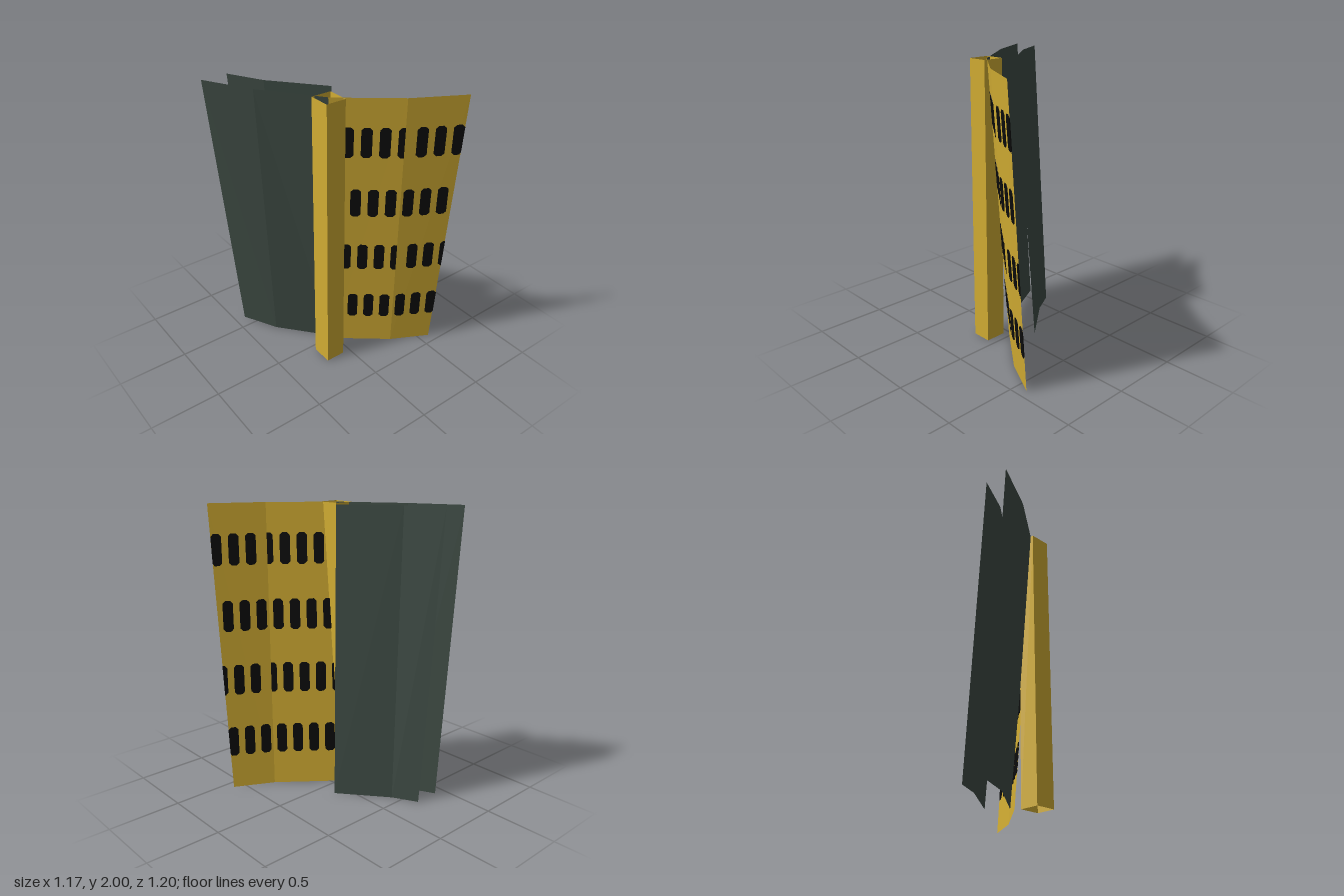
import * as THREE from 'three';

const HEIGHT = 2;
const sheetMat = (name, color) => {
  const m = new THREE.MeshStandardMaterial({ color, side: THREE.DoubleSide, flatShading: true });
  m.name = name;
  return m;
};

// Thin folded sheet between a bottom and a top polyline of [x, z] points
function sheet(name, bottom, top, material) {
  const pos = [];
  for (let i = 0; i < bottom.length - 1; i++) {
    const a = [bottom[i][0], 0, bottom[i][1]];
    const b = [bottom[i + 1][0], 0, bottom[i + 1][1]];
    const c = [top[i + 1][0], HEIGHT, top[i + 1][1]];
    const d = [top[i][0], HEIGHT, top[i][1]];
    pos.push(...a, ...b, ...c, ...a, ...c, ...d);
  }
  const geo = new THREE.BufferGeometry();
  geo.setAttribute('position', new THREE.Float32BufferAttribute(pos, 3));
  geo.computeVertexNormals();
  const mesh = new THREE.Mesh(geo, material);
  mesh.name = name;
  return mesh;
}

export function createModel() {
  const model = new THREE.Group();
  model.name = 'foldedPanels';
  const gold = sheetMat('gold', 0xd2ad33);
  const slate = sheetMat('darkSlate', 0x3d4a43);
  const black = sheetMat('black', 0x0b0b0b);

  // Upright square post, open at both ends
  const square = [[-0.198, 0.195], [-0.057, 0.195], [-0.057, 0.044], [-0.198, 0.044], [-0.198, 0.195]];
  model.add(sheet('post', square, square, gold));

  // Leaning gold panel with one fold
  const foldLow = [0.318, 0.294], foldHigh = [0.242, 0.411];
  model.add(sheet('perforatedPanel',
    [[-0.03, 0.013], foldLow, [0.58, 0.434]],
    [[-0.125, 0.117], foldHigh, [0.58, 0.595]], gold));

  // Two parallel dark panels
  model.add(sheet('outerDarkPanel',
    [[-0.01, -0.006], [-0.293, -0.345], [-0.422, -0.6]],
    [[-0.125, 0.113], [-0.41, -0.269], [-0.586, -0.6]], slate));
  model.add(sheet('innerDarkPanel',
    [[0.103, -0.12], [-0.153, -0.434], [-0.242, -0.6]],
    [[0, -0.02], [-0.277, -0.358], [-0.403, -0.6]], slate));

  // Slots: u runs along the panel from the fold, cut off at the panel's ends
  const foldAt = (y) => [0, 1].map((i) => THREE.MathUtils.lerp(foldLow[i], foldHigh[i], y / HEIGHT));
  const inner = { dir: [0.777, 0.629], min: () => -0.452, max: () => 0 };
  const outer = { dir: [0.878, 0.478], min: () => 0, max: (y) => (0.58 - foldAt(y)[0]) / 0.878 };
  const PITCH = 0.115, HALF_W = 0.035, HALF_H = 0.106, CUT = 0.018, THICK = 0.006;

  function addSlot(group, side, u, y) {
    if (u + HALF_W < side.min(y) + 0.01 || u - HALF_W > side.max(y) - 0.01) return;
    const a = HALF_W, b = HALF_H;
    const outline = [
      [-a, -b + CUT], [-a + CUT, -b], [a - CUT, -b], [a, -b + CUT],
      [a, b - CUT], [a - CUT, b], [-a + CUT, b], [-a, b - CUT],
    ].map(([du, dy]) => new THREE.Vector2(
      THREE.MathUtils.clamp(u + du, side.min(y + dy), side.max(y + dy)), y + dy));
    const geo = new THREE.ExtrudeGeometry(new THREE.Shape(outline), { depth: THICK, bevelEnabled: false });
    // Lay the flat plate onto the leaning panel
    const p = geo.attributes.position;
    const [dx, dz] = side.dir;
    for (let i = 0; i < p.count; i++) {
      const su = p.getX(i), sy = p.getY(i), w = p.getZ(i) - THICK / 2;
      const [fx, fz] = foldAt(sy);
      p.setXYZ(i, fx + su * dx - w * dz, sy, fz + su * dz + w * dx);
    }
    geo.computeVertexNormals();
    const mesh = new THREE.Mesh(geo, black);
    mesh.name = 'slot';
    group.add(mesh);
  }

  const slots = new THREE.Group();
  slots.name = 'slots';
  for (let row = 0; row < 4; row++) {
    const y = 0.345 + row * 0.45;
    const shift = row % 2 ? -0.005 : -0.063;
    for (let k = -4; k <= 3; k++) {
      const u = shift + k * PITCH;
      // A slot on the fold shows only on the inner half
      addSlot(slots, u < 0 ? inner : outer, u, y);
    }
  }
  model.add(slots);
  return model;
}
